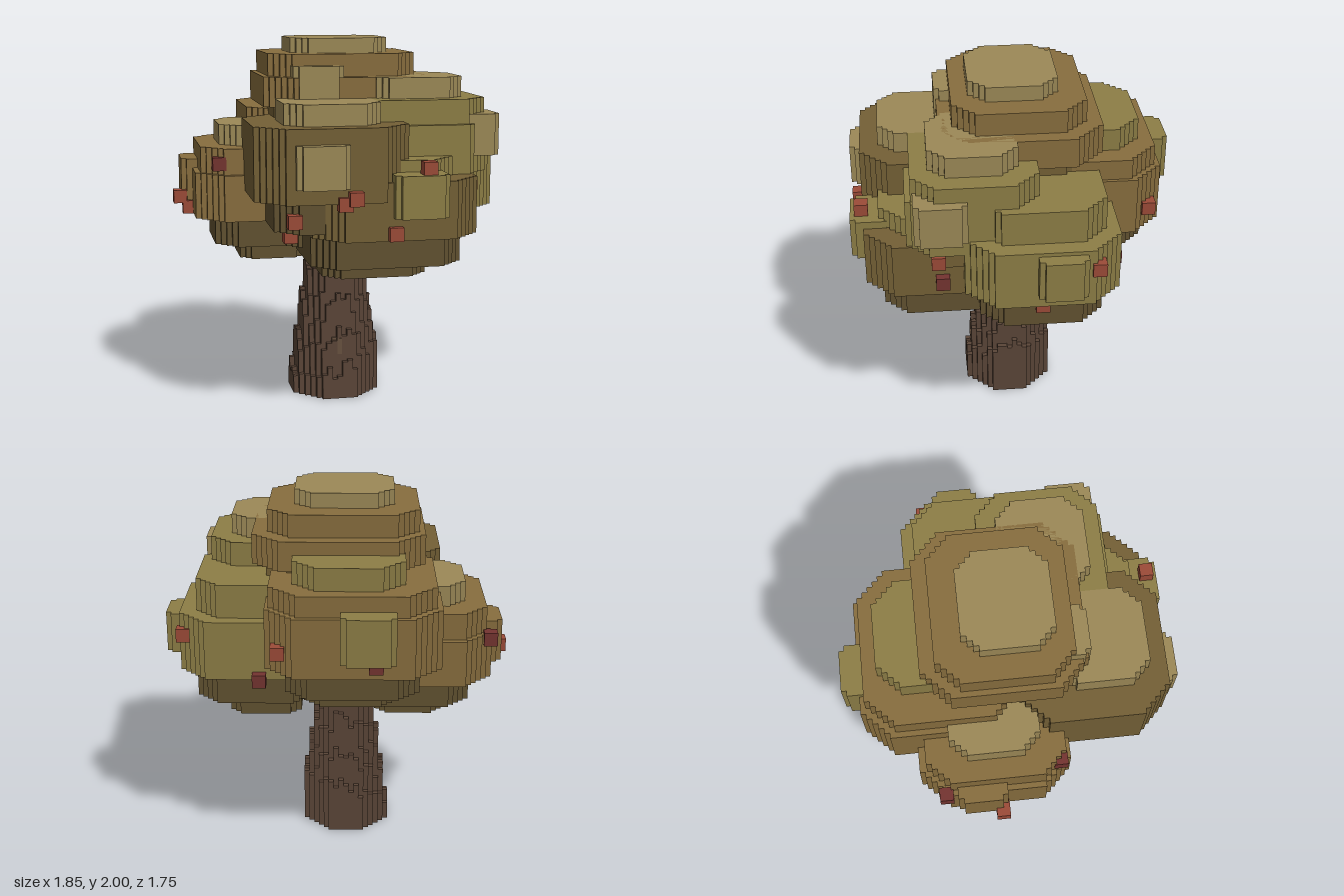
import * as THREE from 'three';
import { mergeGeometries } from 'three/addons/utils/BufferGeometryUtils.js';

const V = 0.0285; // voxel size
const mat = (color) => new THREE.MeshStandardMaterial({ color, flatShading: true });
const M = {
  tan: mat(0x9c8957), olive: mat(0x8d7e46), brown: mat(0x886e3e),
  umber: mat(0x746036), deep: mat(0x625231), bark: mat(0x5b4638),
  knot: mat(0x68523f), red: mat(0x9c4b38), darkRed: mat(0x743430),
};

// Flat slab with stair-stepped corners: [x0, x1, z0, z1, y0, y1]
function slabGeometry([x0, x1, z0, z1, y0, y1]) {
  const a = (x1 - x0) / 2, b = (z1 - z0) / 2;
  const n = Math.max(1, Math.round(0.35 * Math.min(a, b) / V));
  const quarter = [];
  for (let i = 0; i <= n; i++) {
    quarter.push([a - i * V, b - (n - i) * V]);
    if (i < n) quarter.push([a - (i + 1) * V, b - (n - i) * V]);
  }
  const flip = (sx, sz) => quarter.map(([x, z]) => new THREE.Vector2(sx * x, sz * z));
  const pts = [...flip(1, 1), ...flip(-1, 1).reverse(), ...flip(-1, -1), ...flip(1, -1).reverse()];
  const g = new THREE.ExtrudeGeometry(new THREE.Shape(pts), { depth: y1 - y0, bevelEnabled: false });
  g.rotateX(-Math.PI / 2);
  return g.translate((x0 + x1) / 2, y0, (z0 + z1) / 2);
}

function slabMesh(name, [color, ...size]) {
  const m = new THREE.Mesh(slabGeometry(size), M[color]);
  m.name = name;
  return m;
}

// Foliage clumps, each a stack of slabs from top to bottom
const clumps = {
  crownClump: [
    ['tan', -0.30, 0.23, -0.24, 0.23, 1.92, 2.00],
    ['brown', -0.43, 0.37, -0.38, 0.32, 1.80, 1.92],
    ['brown', -0.46, 0.45, -0.46, 0.39, 1.64, 1.80],
    ['umber', -0.40, 0.38, -0.38, 0.33, 1.40, 1.64],
  ],
  frontLeftClump: [
    ['tan', 0.09, 0.59, 0.00, 0.46, 1.69, 1.80],
    ['olive', -0.04, 0.70, -0.10, 0.55, 1.56, 1.69],
    ['olive', -0.06, 0.70, -0.12, 0.58, 1.30, 1.56],
    ['umber', 0.02, 0.62, -0.05, 0.50, 1.18, 1.30],
  ],
  leftClump: [
    ['olive', 0.12, 0.75, -0.44, 0.22, 1.38, 1.56],
    ['olive', 0.04, 0.84, -0.51, 0.29, 1.06, 1.38],
    ['deep', 0.12, 0.76, -0.43, 0.21, 0.89, 1.06],
    ['deep', 0.20, 0.59, -0.32, 0.10, 0.78, 0.89],
  ],
  frontRightClump: [
    ['tan', -0.41, 0.09, 0.24, 0.71, 1.58, 1.69],
    ['umber', -0.57, 0.23, 0.03, 0.81, 1.20, 1.58],
    ['deep', -0.46, 0.13, 0.13, 0.71, 1.03, 1.20],
  ],
  lowFrontClump: [
    ['olive', -0.12, 0.48, 0.10, 0.72, 1.30, 1.40],
    ['umber', -0.27, 0.60, 0.00, 0.80, 1.00, 1.30],
    ['deep', -0.27, 0.53, 0.00, 0.71, 0.84, 1.00],
    ['deep', -0.19, 0.37, 0.02, 0.57, 0.76, 0.84],
  ],
  rightClump: [
    ['tan', -0.68, -0.18, -0.35, 0.12, 1.42, 1.53],
    ['brown', -0.79, -0.06, -0.48, 0.25, 1.28, 1.42],
    ['brown', -0.82, -0.02, -0.52, 0.28, 1.03, 1.28],
    ['deep', -0.71, -0.12, -0.42, 0.18, 0.87, 1.03],
    ['deep', -0.57, -0.20, -0.30, 0.08, 0.78, 0.87],
  ],
  backClump: [
    ['olive', -0.35, 0.23, -0.68, -0.05, 1.61, 1.73],
    ['brown', -0.51, 0.35, -0.76, 0.05, 1.50, 1.61],
    ['brown', -0.54, 0.37, -0.79, 0.08, 1.18, 1.50],
    ['deep', -0.43, 0.27, -0.71, 0.00, 1.03, 1.18],
    ['deep', -0.32, 0.18, -0.54, 0.00, 0.92, 1.03],
  ],
  core: [['deep', -0.35, 0.30, -0.35, 0.40, 0.89, 1.45]],
};

// Small leaf blocks standing out of the clumps
const tufts = [
  ['tan', -0.32, -0.05, 0.20, 0.40, 1.64, 1.86],
  ['tan', 0.55, 0.76, 0.27, 0.54, 1.39, 1.61],
  ['olive', 0.72, 0.92, -0.32, -0.07, 1.14, 1.36],
  ['tan', -0.38, -0.11, 0.65, 0.87, 1.28, 1.50],
  ['olive', 0.12, 0.40, 0.65, 0.87, 1.12, 1.34],
  ['brown', -0.88, -0.68, -0.33, -0.07, 1.10, 1.33],
  ['olive', -0.30, -0.02, -0.88, -0.68, 1.28, 1.53],
];

// Berry centres by colour
const berries = {
  red: [
    [0.30, 1.37, 0.81], [-0.08, 1.23, 0.83], [-0.13, 1.20, 0.80], [0.13, 1.04, 0.80],
    [0.63, 1.23, 0.42], [0.78, 1.04, -0.10], [0.82, 1.27, -0.38], [0.30, 1.30, -0.72],
    [-0.89, 1.12, -0.10], [-0.84, 1.06, -0.10], [-0.37, 1.10, 0.70], [-0.37, 1.00, 0.55],
  ],
  darkRed: [
    [0.61, 1.09, 0.40], [-0.70, 1.34, 0.22], [0.41, 1.07, -0.53],
    [-0.81, 1.26, -0.39], [-0.20, 1.26, -0.80],
  ],
};

// Trunk: upright bark columns, taller towards the middle, leaning slightly
function trunk() {
  const cols = [], R = 8, cx = -0.045, cz = 0.015;
  let seed = 7;
  const rand = () => (seed = (seed * 16807) % 2147483647) / 2147483647;
  for (let i = -R; i <= R; i++) for (let k = -R; k <= R; k++) {
    const ax = Math.abs(i), az = Math.abs(k);
    const r = Math.max(ax, az, (ax + az) * 0.73);
    if (r > R + 0.2) continue;
    const taper = 0.22 + (R - r) * 0.2 + i * 0.012 - k * 0.007 + (rand() - 0.5) * 0.08;
    const h = Math.min(0.9, Math.max(0.1, taper));
    cols.push(new THREE.BoxGeometry(V, h, V).translate(cx + i * V, h / 2, cz + k * V));
  }
  const m = new THREE.Mesh(mergeGeometries(cols), M.bark);
  m.name = 'trunk';
  return m;
}

export function createModel() {
  const tree = new THREE.Group();
  tree.name = 'tree';
  tree.add(trunk(), slabMesh('trunkKnot', ['knot', -0.085, -0.005, 0.17, 0.235, 0.25, 0.34]));

  for (const [name, slabs] of Object.entries(clumps)) {
    const clump = new THREE.Group();
    clump.name = name;
    slabs.forEach((slab, i) => clump.add(slabMesh(`leafLayer${i + 1}`, slab)));
    tree.add(clump);
  }
  for (const tuft of tufts) tree.add(slabMesh('leafTuft', tuft));

  const cube = new THREE.BoxGeometry(0.072, 0.072, 0.072);
  for (const [color, centres] of Object.entries(berries)) {
    for (const c of centres) {
      const berry = new THREE.Mesh(cube, M[color]);
      berry.position.set(...c);
      berry.name = 'berry';
      tree.add(berry);
    }
  }
  return tree;
}
